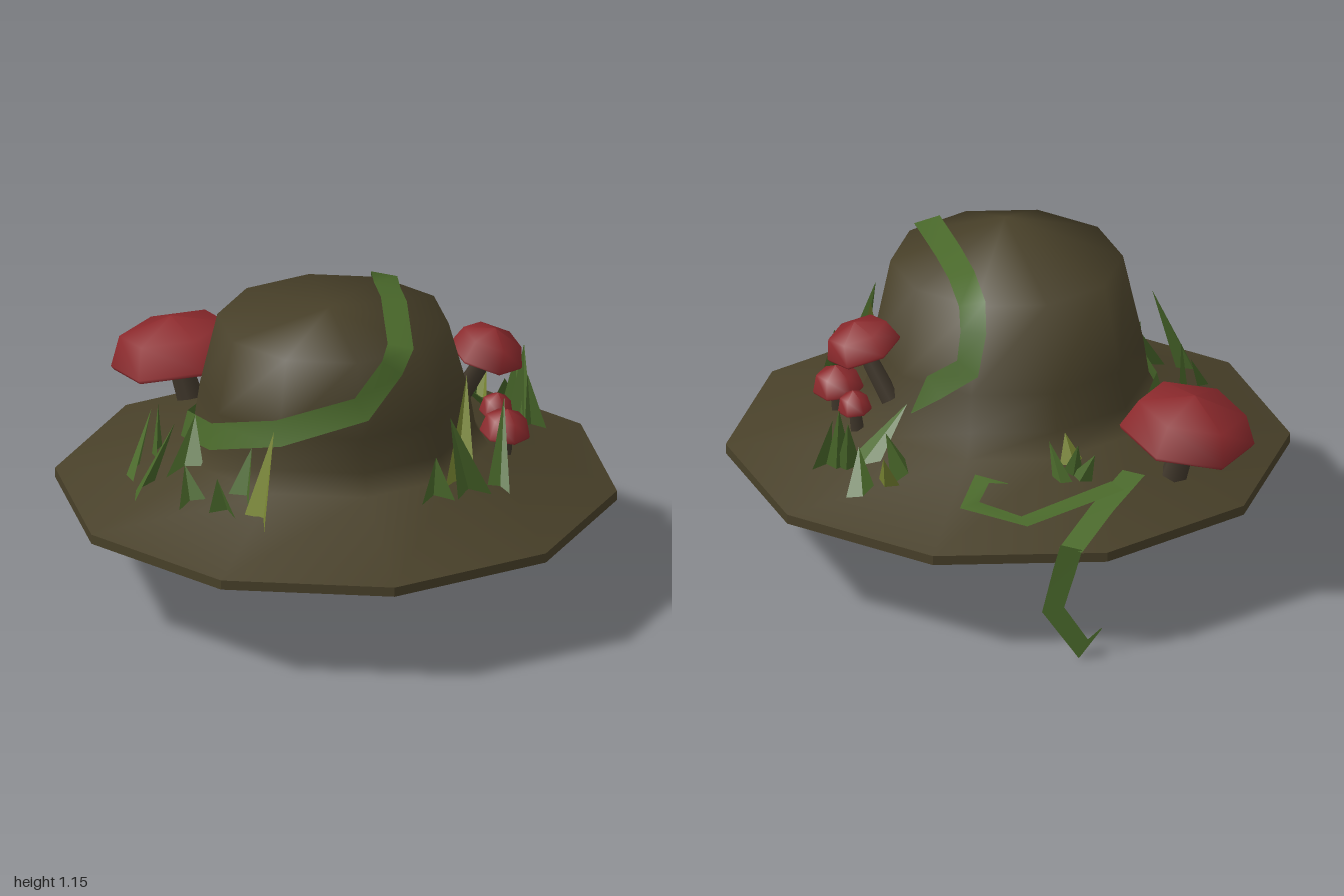
import * as THREE from 'three';

const mat = (name, color, side = THREE.FrontSide) => {
  const m = new THREE.MeshStandardMaterial({ color, side });
  m.name = name;
  return m;
};

// hat skin rings: [height, radius, centre z], from brim edge to crown rim
const RINGS = [[0.39, 1, 0.02], [0.55, 0.545, 0.03], [0.63, 0.5, 0.045], [0.76, 0.48, 0.06], [1.05, 0.412, 0.12]];
const APEX = [0, 1.15, 0.25];
const SIDES = 10;
const V = (x, y, z) => new THREE.Vector3(x, y, z);
const brimY = (x, z) => 0.39 + 0.352 * (1 - Math.min(1, Math.hypot(x, z - 0.02)));

function geometryFrom(pos, index) {
  const g = new THREE.BufferGeometry();
  g.setAttribute('position', new THREE.Float32BufferAttribute(pos, 3));
  g.setIndex(index);
  g.computeVertexNormals();
  return g;
}

// smooth upper surface of brim and crown
function hatSkin() {
  const pos = [], index = [];
  for (const [y, r, cz] of RINGS) {
    for (let j = 0; j < SIDES; j++) {
      const a = (j / SIDES) * Math.PI * 2;
      pos.push(Math.cos(a) * r, y, cz + Math.sin(a) * r);
    }
  }
  pos.push(...APEX);
  const last = RINGS.length - 1, top = RINGS.length * SIDES;
  for (let i = 0; i <= last; i++) {
    for (let j = 0; j < SIDES; j++) {
      const k = (j + 1) % SIDES, a = i * SIDES + j, b = i * SIDES + k;
      if (i === last) index.push(a, top, b);
      else index.push(a, a + SIDES, b, b, a + SIDES, b + SIDES);
    }
  }
  return geometryFrom(pos, index);
}

// point just outside the ten-sided crown wall; angle in degrees from +x towards +z
function onCrown([deg, y]) {
  let i = 1;
  while (i < RINGS.length - 2 && y > RINGS[i + 1][0]) i++;
  const [y0, r0, c0] = RINGS[i], [y1, r1, c1] = RINGS[i + 1];
  const t = (y - y0) / (y1 - y0), r = r0 + (r1 - r0) * t, cz = c0 + (c1 - c0) * t;
  const a = THREE.MathUtils.degToRad(deg), step = (Math.PI * 2) / SIDES;
  const local = a - (Math.floor(a / step + 1e-6) + 0.5) * step;
  const d = (r * Math.cos(step / 2)) / Math.cos(local) + 0.016;
  return V(Math.cos(a) * d, y, cz + Math.sin(a) * d);
}

// flat strip along points, lying square to normalAt(p); optional pointed end
function ribbon(points, width, normalAt, pointed = true) {
  const pos = [], index = [];
  points.forEach((p, i) => {
    const a = points[Math.max(0, i - 1)], b = points[Math.min(points.length - 1, i + 1)];
    const side = b.clone().sub(a).cross(normalAt(p)).normalize();
    const w = pointed && i === points.length - 1 ? 0.002 : width / 2;
    pos.push(...p.clone().addScaledVector(side, w).toArray(), ...p.clone().addScaledVector(side, -w).toArray());
    if (i) index.push(2 * i - 2, 2 * i, 2 * i - 1, 2 * i - 1, 2 * i, 2 * i + 1);
  });
  return geometryFrom(pos, index);
}

// blades folded along the middle: [base x, base z, base x, base z, tip x, tip y, tip z]
function blades(list) {
  const pos = [];
  for (const [x1, z1, x2, z2, tx, ty, tz] of list) {
    const mx = (x1 + x2) / 2 + (z2 - z1) * 0.3, mz = (z1 + z2) / 2 - (x2 - x1) * 0.3;
    const left = [x1, brimY(x1, z1), z1], right = [x2, brimY(x2, z2), z2];
    const fold = [mx, brimY(mx, mz), mz], tip = [tx, ty, tz];
    pos.push(...left, ...fold, ...tip, ...fold, ...right, ...tip);
  }
  return geometryFrom(pos, [...Array(pos.length / 3).keys()]);
}

export function createModel() {
  const brown = mat('hatBrown', 0x484029);
  const red = mat('capRed', 0x8b292c);
  const stemBrown = mat('stemBrown', 0x40372b);
  const green = mat('leafGreen', 0x4a692b, THREE.DoubleSide);
  const lime = mat('limeGreen', 0x7a8733, THREE.DoubleSide);
  const model = new THREE.Group();
  const add = (name, geo, material, parent = model) => {
    const m = new THREE.Mesh(geo, material);
    m.name = name;
    parent.add(m);
    return m;
  };

  // hat
  add('hatTop', hatSkin(), brown);
  const edge = new THREE.CylinderGeometry(1, 1, 0.035, SIDES, 1, true).rotateY(Math.PI / 2).toNonIndexed();
  edge.computeVertexNormals();
  add('brimEdge', edge, brown).position.set(0, 0.3725, 0.02);
  add('brimUnderside', new THREE.CircleGeometry(1, SIDES).rotateX(Math.PI / 2), brown).position.set(0, 0.355, 0.02);

  // mushrooms: cap centre, cap radius, cap height, tilt about x and z, stem foot, stem radius
  const mushrooms = [
    [V(-0.61, 0.613, -0.465), 0.243, 0.172, -0.06, 0.18, V(-0.565, 0.46, -0.46), 0.05],
    [V(0.515, 0.82, -0.13), 0.135, 0.118, 0, -0.32, V(0.43, 0.66, -0.18), 0.037],
    [V(0.6, 0.59, 0.025), 0.09, 0.1, 0, -0.12, V(0.59, 0.5, 0.025), 0.038],
    [V(0.55, 0.595, -0.155), 0.06, 0.08, 0, -0.1, V(0.54, 0.51, -0.155), 0.028],
  ];
  for (const [c, r, h, rx, rz, foot, sr] of mushrooms) {
    const group = new THREE.Group();
    group.name = 'mushroom';
    const profile = [[r * 0.97, 0], [r, h * 0.08], [r * 0.8, h * 0.7], [0, h]].map(([x, y]) => new THREE.Vector2(x, y));
    const cap = add('cap', new THREE.LatheGeometry(profile, 6).rotateY(Math.PI / 2), red, group);
    cap.position.copy(c);
    cap.rotation.set(rx, 0, rz);
    add('gills', new THREE.CircleGeometry(r * 0.97, 6).rotateX(Math.PI / 2), stemBrown, cap);
    const dir = c.clone().sub(foot);
    const stem = add('stem', new THREE.CylinderGeometry(sr * 0.85, sr, dir.length() + 0.02, 6), stemBrown, group);
    stem.position.copy(foot).addScaledVector(dir, 0.5);
    stem.quaternion.setFromUnitVectors(V(0, 1, 0), dir.normalize());
    model.add(group);
  }

  // vine winding round the crown, over its top and down the back
  const outward = (p) => V(p.x, p.y > 1.05 ? 0.9 : 0.12, p.z - 0.08).normalize();
  const crownVine = [
    ...[[216, 0.555], [180, 0.59], [144, 0.675], [108, 0.775], [72, 0.88], [54, 1.01]].map(onCrown),
    V(0.27, 1.075, 0.4), V(0.21, 1.11, 0.06), V(0.17, 1.093, -0.1), V(0.14, 1.062, -0.275),
    ...[[-72, 0.97], [-70, 0.85], [-54, 0.76], [-44, 0.65]].map(onCrown),
  ];
  add('crownVine', ribbon(crownVine, 0.095, outward), green);

  // vines lying on the back of the brim, one hanging over the edge
  const up = () => V(0, 1, 0), back = () => V(0, 0, -1);
  const onBrim = ([x, z]) => V(x, brimY(x, z) + 0.02, z);
  add('brimVine', ribbon([[-0.42, -0.54], [-0.3, -0.74], [-0.178, -0.953]].map(onBrim), 0.09, up, false), green);
  add('brimVineBranch', ribbon([[-0.36, -0.62], [-0.02, -0.82], [0.17, -0.73], [0.12, -0.61], [0.03, -0.64]].map(onBrim), 0.085, up), green);
  add('hangingVine', ribbon([V(-0.18, 0.43, -0.966), V(-0.155, 0.34, -0.968), V(-0.115, 0.19, -0.971),
    V(-0.222, 0.036, -0.975), V(-0.287, 0.115, -0.974)], 0.08, back), green);

  // grass tufts
  add('frontGrass', blades([
    [-0.67, 0.46, -0.61, 0.35, -0.53, 0.76, 0.44], [-0.57, 0.35, -0.44, 0.33, -0.48, 0.7, 0.22],
    [-0.5, 0.57, -0.41, 0.53, -0.49, 0.62, 0.48], [-0.33, 0.52, -0.25, 0.61, -0.25, 0.7, 0.49],
    [-0.39, 0.61, -0.29, 0.66, -0.36, 0.63, 0.62], [-0.69, 0.32, -0.68, 0.2, -0.65, 0.66, 0.08],
    [-0.62, 0.19, -0.61, 0.1, -0.62, 0.7, 0.14],
  ]), green);
  add('sideGrass', blades([
    [0.36, 0.53, 0.47, 0.46, 0.4, 0.67, 0.44], [0.48, 0.45, 0.59, 0.36, 0.45, 0.82, 0.43],
    [0.57, 0.31, 0.65, 0.32, 0.61, 0.78, 0.13],
  ]), green);
  add('backGrass', blades([
    [0.5, -0.53, 0.6, -0.56, 0.55, 0.6, -0.46], [0.385, -0.43, 0.44, -0.55, 0.455, 0.65, -0.46],
    [0.47, -0.41, 0.57, -0.34, 0.37, 0.68, -0.28], [0.54, -0.4, 0.625, -0.37, 0.59, 0.7, -0.48],
    [0.64, -0.29, 0.71, -0.35, 0.64, 0.66, -0.37], [0.57, -0.38, 0.66, -0.34, 0.62, 0.74, -0.45],
    [-0.27, -0.59, -0.2, -0.56, -0.28, 0.62, -0.61], [-0.2, -0.6, -0.13, -0.58, -0.12, 0.65, -0.55],
    [-0.24, -0.55, -0.17, -0.55, -0.22, 0.66, -0.61],
  ]), green);
  add('limeGrass', blades([
    [-0.26, 0.64, -0.18, 0.74, -0.16, 0.81, 0.6], [0.43, 0.4, 0.53, 0.35, 0.48, 0.87, 0.16],
    [0.41, -0.56, 0.48, -0.5, 0.47, 0.62, -0.61], [-0.24, -0.48, -0.16, -0.52, -0.18, 0.64, -0.46],
  ]), lime);

  return model;
}
